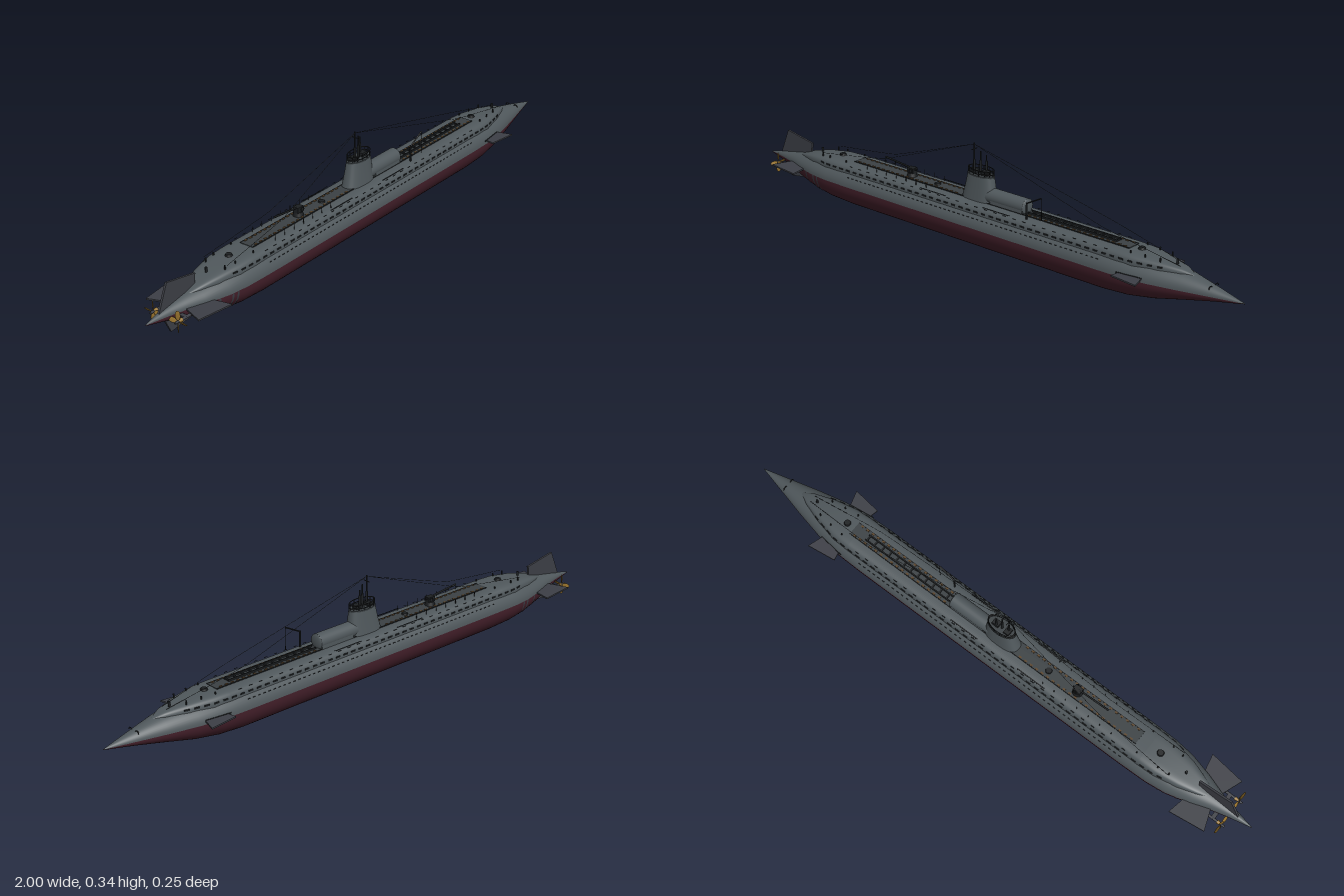
import * as THREE from 'three';

const mat = (name, color, side = THREE.FrontSide) => {
  const m = new THREE.MeshStandardMaterial({ color, side });
  m.name = name;
  return m;
};

export function createModel() {
  const root = new THREE.Group();
  root.name = 'submarine';
  const grey = mat('hull grey', 0x50585c);
  const red = mat('antifouling red', 0x45202b);
  const dark = mat('dark metal', 0x1c1f21);
  const slate = mat('fin slate', 0x3d3f46);
  const brass = mat('propeller brass', 0x94702c);
  const wood = mat('deck wood', 0x5c452a);
  const deckGrey = mat('deck grey', 0x3b4144);

  const add = (name, geo, m, x = 0, y = 0, z = 0, parent = root) => {
    const mesh = new THREE.Mesh(geo, m);
    mesh.name = name;
    mesh.position.set(x, y, z);
    parent.add(mesh);
    return mesh;
  };
  const box = (name, w, h, d, m, x, y, z, parent) => add(name, new THREE.BoxGeometry(w, h, d), m, x, y, z, parent);
  const post = (name, r, h, m, x, y, z, parent) => add(name, new THREE.CylinderGeometry(r, r, h, 10), m, x, y + h / 2, z, parent);
  const rod = (name, points, r, m, parent) =>
    add(name, new THREE.TubeGeometry(new THREE.CatmullRomCurve3(points.map(p => new THREE.Vector3(...p)), false, 'catmullrom', 0.1), 24, r, 6), m, 0, 0, 0, parent);

  // Skin joining a list of equal-length rings
  const loft = rings => {
    const n = rings[0].length, pos = rings.flat(2), idx = [];
    for (let i = 0; i < rings.length - 1; i++)
      for (let j = 0; j < n - 1; j++) {
        const a = i * n + j, b = a + n;
        idx.push(a, b, b + 1, a, b + 1, a + 1);
      }
    const g = new THREE.BufferGeometry();
    g.setAttribute('position', new THREE.Float32BufferAttribute(pos, 3));
    g.setIndex(idx);
    g.computeVertexNormals();
    return g;
  };
  // Linear lookup in a station table keyed by x
  const at = (table, x) => {
    let i = 0;
    while (i < table.length - 2 && table[i + 1][0] < x) i++;
    const t = (x - table[i][0]) / (table[i + 1][0] - table[i][0]);
    return table[i].map((v, k) => v + (table[i + 1][k] - v) * t);
  };

  // Hull stations: x, half width, top, bottom
  const MID = 0.087;
  const hull = [
    [-1, 0.001, 0.089, 0.085], [-0.92, 0.018, 0.106, 0.066], [-0.86, 0.034, 0.117, 0.05], [-0.8, 0.055, 0.128, 0.033],
    [-0.72, 0.076, 0.142, 0.016], [-0.65, 0.084, 0.149, 0.006], [-0.55, 0.086, 0.153, 0.001], [0.52, 0.086, 0.153, 0],
    [0.61, 0.084, 0.151, 0.006], [0.7, 0.073, 0.145, 0.021], [0.8, 0.051, 0.132, 0.045], [0.9, 0.026, 0.111, 0.067],
    [1, 0.001, 0.088, 0.086]];
  const arc = ([x, w, top, bottom], from, to, grow = 0) => Array.from({ length: 25 }, (_, j) => {
    const a = from + (to - from) * j / 24, s = Math.sin(a);
    return [x, MID + s * (s > 0 ? top - MID + grow : MID - bottom + grow), Math.cos(a) * (w + grow)];
  });
  add('upperHull', loft(hull.map(s => arc(s, 0, Math.PI))), grey);
  add('lowerHull', loft(hull.map(s => arc(s, Math.PI, Math.PI * 2))), red);
  for (const x of [-0.76, -0.715, -0.695])
    add('sternBand', loft([x, x + 0.007].map(v => arc(at(hull, v), Math.PI, Math.PI * 2, 0.0012))), slate);

  // Casing stations: x, half width, top
  const casing = [
    [-0.86, 0.004, 0.112], [-0.8, 0.03, 0.132], [-0.74, 0.05, 0.146], [-0.66, 0.065, 0.155], [-0.6, 0.067, 0.157],
    [0.58, 0.067, 0.157], [0.64, 0.064, 0.156], [0.72, 0.047, 0.151], [0.79, 0.024, 0.141], [0.83, 0.003, 0.125]];
  const BASE = 0.112;
  add('deckCasing', loft(casing.map(([x, w, top]) => Array.from({ length: 33 }, (_, j) => {
    const a = Math.PI * j / 32, c = Math.cos(a);
    return [x, BASE + (top - BASE) * Math.pow(Math.max(0, Math.sin(a)), 0.45), Math.sign(c) * w * Math.pow(Math.abs(c), 0.45)];
  }))), grey);

  // Drain slots along casing and hull
  for (const s of [-1, 1]) {
    for (let x = -0.68; x < 0.75; x += 0.032) {
      const [, w] = at(casing, x);
      const slot = box('drainSlot', 0.017, 0.005, 0.003, dark, x, 0.137, s * w * 0.985);
      slot.rotation.y = s * Math.atan((at(casing, x - 0.005)[1] - at(casing, x + 0.005)[1]) / 0.01);
    }
    for (let x = -0.54; x < 0.54; x += 0.02) box('hullVent', 0.008, 0.002, 0.002, dark, x, 0.118, s * 0.0766);
    for (let x = -0.54; x < 0.56; x += 0.04) box('deckVent', 0.012, 0.001, 0.002, dark, x, 0.1525, s * 0.0605);
    for (const x of [-0.17, 0.1]) box('deckSlit', 0.11, 0.001, 0.004, dark, x, 0.155, s * 0.055);
    box('anchorRecess', 0.09, 0.004, 0.002, dark, 0.64, 0.099, s * 0.079).rotation.y = s * 0.12;
    // Tube door on the bow
    const door = add('bowDoor', new THREE.TorusGeometry(0.008, 0.0015, 6, 14, Math.PI), dark, 0.89, 0.107, s * 0.016);
    door.rotation.y = Math.PI / 2;
  }

  // Walkway with timber slats
  box('walkway', 1.16, 0.004, 0.048, deckGrey, 0.02, 0.157, 0);
  for (let x = -0.54; x < 0.59; x += 0.022)
    if (x < -0.09 || x > 0.19) for (const s of [-1, 1]) box('deckSlat', 0.01, 0.003, 0.006, wood, x, 0.1595, s * 0.02);
  // Aircraft catapult
  for (const s of [-1, 1]) {
    box('catapultRail', 0.35, 0.006, 0.004, dark, 0.37, 0.163, s * 0.01);
    box('walkwayEdge', 1.16, 0.004, 0.002, dark, 0.02, 0.158, s * 0.024);
  }
  for (let x = 0.21; x < 0.55; x += 0.03) box('catapultTie', 0.006, 0.004, 0.02, dark, x, 0.161, 0);
  // Deck hatches and bollards
  for (const x of [-0.64, -0.2, 0.63]) add('deckHatch', new THREE.CylinderGeometry(0.01, 0.012, 0.006, 16), dark, x, 0.16, 0);
  for (const x of [-0.7, -0.66, -0.58, 0.62, 0.67, 0.72])
    for (const s of [-1, 1]) post('bollard', 0.0025, 0.014, dark, x, 0.148, s * at(casing, x)[1] * 0.65);
  for (const x of [-0.74, 0.76]) post('fairlead', 0.004, 0.018, dark, x, 0.143, 0);
  for (let x = -0.48; x < -0.2; x += 0.045)
    for (const s of [-1, 1]) post('stanchion', 0.001, 0.018, dark, x, 0.154, s * 0.045);

  // Conning tower
  const tower = new THREE.Group();
  tower.name = 'conningTower';
  root.add(tower);
  const oval = (x0, x1, w, y) => Array.from({ length: 33 }, (_, j) => {
    const a = Math.PI * 2 * j / 32, c = Math.cos(a), s = Math.sin(a);
    return [(x0 + x1) / 2 + (x1 - x0) / 2 * Math.sign(c) * Math.pow(Math.abs(c), 0.75), y, w * Math.sign(s) * Math.pow(Math.abs(s), 0.75)];
  });
  add('towerBody', loft([oval(-0.083, 0.052, 0.033, 0.15), oval(-0.07, 0.046, 0.028, 0.195), oval(-0.06, 0.04, 0.024, 0.238)]), grey, 0, 0, 0, tower);
  const plate = add('bridgeDeck', new THREE.CylinderGeometry(1, 1, 0.005, 32), deckGrey, -0.01, 0.2385, 0, tower);
  plate.scale.set(0.053, 1, 0.027);
  for (const y of [0.248, 0.259]) {
    const rail = add('bridgeRail', new THREE.TorusGeometry(1, 0.04, 6, 32), dark, -0.01, y, 0, tower);
    rail.rotation.x = Math.PI / 2;
    rail.scale.set(0.05, 0.026, 0.04);
  }
  for (let k = 0; k < 14; k++) {
    const a = k / 14 * Math.PI * 2;
    post('railPost', 0.0012, 0.02, dark, -0.01 + 0.05 * Math.cos(a), 0.24, 0.026 * Math.sin(a), tower);
  }
  box('bridgeConsole', 0.025, 0.014, 0.02, dark, 0.01, 0.247, 0, tower);
  box('bridgeLocker', 0.02, 0.01, 0.024, dark, -0.035, 0.245, 0, tower);
  // Periscopes and mast
  for (const [x, z, top] of [[-0.035, 0.005, 0.34], [-0.012, 0, 0.316], [0.006, -0.007, 0.304]]) {
    post('periscopeSleeve', 0.004, 0.05, dark, x, 0.235, z, tower);
    post('periscope', 0.0022, top - 0.24, dark, x, 0.24, z, tower);
  }
  box('mastYard', 0.002, 0.002, 0.026, dark, -0.035, 0.32, 0.005, tower);

  // Aircraft hangar ahead of the tower
  const hangar = add('hangar', new THREE.CylinderGeometry(0.026, 0.026, 0.155, 28), grey, 0.105, 0.177, 0);
  hangar.rotation.z = Math.PI / 2;
  const door = add('hangarDoor', new THREE.SphereGeometry(0.026, 24, 10, 0, Math.PI * 2, 0, Math.PI / 2), grey, 0.182, 0.177, 0);
  door.rotation.z = -Math.PI / 2;
  door.scale.y = 0.25;
  box('hangarBase', 0.13, 0.022, 0.05, grey, 0.115, 0.165, 0);

  // Folding crane
  post('cranePost', 0.003, 0.055, dark, 0.215, 0.155, 0.042);
  rod('craneJib', [[0.215, 0.208, 0.042], [0.275, 0.24, 0.042]], 0.0025, dark);
  rod('craneCable', [[0.275, 0.24, 0.042], [0.275, 0.165, 0.042]], 0.001, dark);

  // Deck gun aimed aft
  add('gunBase', new THREE.CylinderGeometry(0.014, 0.018, 0.014, 16), dark, -0.315, 0.165, 0);
  box('gunMount', 0.028, 0.018, 0.02, dark, -0.315, 0.18, 0);
  rod('gunBarrel', [[-0.295, 0.184, 0], [-0.435, 0.198, 0]], 0.0032, dark);
  for (const s of [-1, 1]) {
    const wheel = add('gunWheel', new THREE.TorusGeometry(0.007, 0.0012, 6, 14), dark, -0.31, 0.181, s * 0.013);
    wheel.name = 'gunHandwheel';
  }

  // Flat fins cut from an outline
  const fin = (name, outline, thick) => {
    const g = new THREE.ExtrudeGeometry(new THREE.Shape(outline.map(p => new THREE.Vector2(...p))), { depth: thick, bevelEnabled: false });
    g.translate(0, 0, -thick / 2);
    return add(name, g, slate);
  };
  fin('upperRudder', [[-0.95, 0.092], [-0.8, 0.092], [-0.79, 0.165], [-0.91, 0.186]], 0.007);
  fin('lowerRudder', [[-0.93, 0.08], [-0.9, 0.021], [-0.81, 0.033], [-0.8, 0.08]], 0.007);
  for (const s of [-1, 1]) {
    const stern = fin('sternPlane', [[-0.86, 0.02], [-0.89, 0.102], [-0.765, 0.118], [-0.785, 0.02]], 0.005);
    const bow = fin('bowPlane', [[0.61, 0.06], [0.6, 0.112], [0.7, 0.125], [0.68, 0.06]], 0.005);
    stern.rotation.x = bow.rotation.x = s * Math.PI / 2;
    stern.position.y = 0.088;
    bow.position.y = 0.097;

    // Propeller, shaft and bracket
    const shaft = add('propellerShaft', new THREE.CylinderGeometry(0.004, 0.007, 0.2, 12), slate, -0.83, 0.078, s * 0.048);
    shaft.rotation.z = Math.PI / 2;
    box('shaftBracket', 0.014, 0.004, 0.045, slate, -0.885, 0.08, s * 0.028);
    const prop = new THREE.Group();
    prop.name = 'propeller';
    prop.position.set(-0.918, 0.078, s * 0.048);
    root.add(prop);
    const hub = add('propellerHub', new THREE.ConeGeometry(0.007, 0.03, 14), brass, 0, 0, 0, prop);
    hub.rotation.z = Math.PI / 2;
    for (let k = 0; k < 4; k++) {
      const arm = new THREE.Group();
      arm.name = 'bladeArm';
      arm.rotation.x = k * Math.PI / 2;
      prop.add(arm);
      const blade = add('propellerBlade', new THREE.SphereGeometry(1, 12, 8), brass, 0, 0.02, 0, arm);
      blade.scale.set(0.0015, 0.016, 0.008);
      blade.rotation.y = s * 0.6;
    }

    // Aerial wires fore and aft
    rod('aftAerial', [[-0.035, 0.336, 0.005], [-0.42, 0.202, s * 0.03], [-0.7, 0.163, s * 0.045]], 0.0006, dark);
    rod('foreAerial', [[-0.035, 0.336, 0.005], [0.5, 0.203, s * 0.03], [0.78, 0.146, s * 0.012]], 0.0006, dark);
  }
  return root;
}
